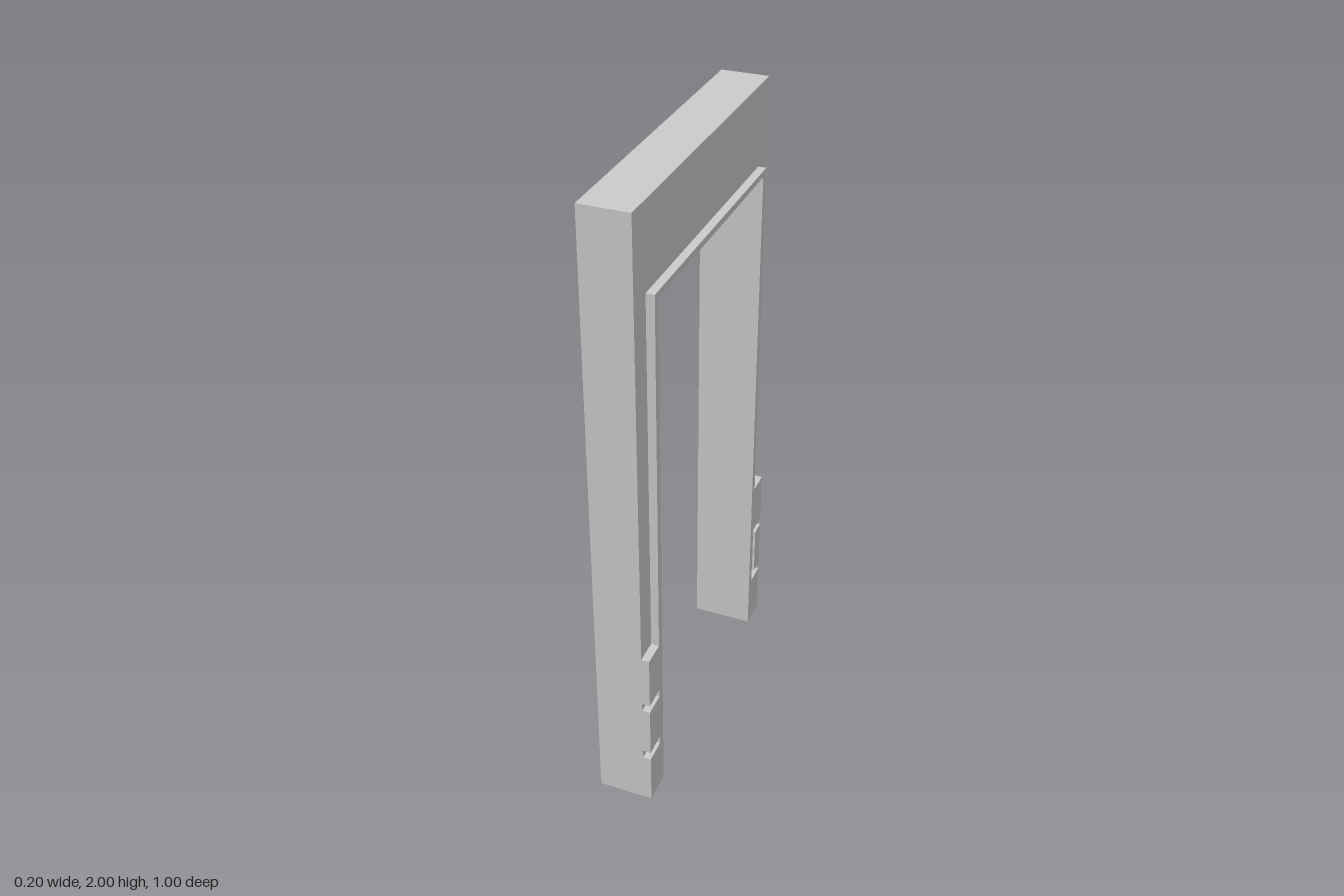
import * as THREE from 'three';

const material = new THREE.MeshStandardMaterial({ color: 0xcccccc });

// Extrudes an outline, given as (-z, y) points, along x from x0 to x1.
function slab(name, points, x0, x1) {
  const shape = new THREE.Shape(points.map(([u, y]) => new THREE.Vector2(u, y)));
  const geometry = new THREE.ExtrudeGeometry(shape, { depth: x1 - x0, bevelEnabled: false });
  geometry.rotateY(Math.PI / 2).translate(x0, 0, 0);
  const mesh = new THREE.Mesh(geometry, material);
  mesh.name = name;
  return mesh;
}

// Outline of a doorway arch with square corners.
const arch = (outer, top, inner, head) => [
  [-outer, 0], [-inner, 0], [-inner, head], [inner, head],
  [inner, 0], [outer, 0], [outer, top], [-outer, top],
];

export function createModel() {
  const group = new THREE.Group();
  group.name = 'doorFrame';

  const outer = 0.5, inner = 0.4, lip = 0.425, head = 1.73, lipTop = 1.75;
  const face = 0.074, edge = 0.099;
  const blockTop = 0.58, grooves = [[0.175, 0.204], [0.375, 0.402]];

  group.add(slab('frame', arch(outer, 2, inner, head), -face, face));

  // Plain raised lip around the opening
  group.add(slab('plainTrim', arch(lip, lipTop, inner, head), -edge, -face));

  // Lip on the other face, widening into foot blocks cut by hinge and latch grooves
  const [low, high] = grooves;
  group.add(slab('blockTrim', [
    [-outer, 0], [-inner, 0], [-inner, head], [inner, head], [inner, 0], [outer, 0],
    // latch recess
    [outer, low[0]], [lip, low[0]], [lip, high[1]], [outer, high[1]],
    [outer, blockTop], [lip, blockTop], [lip, lipTop], [-lip, lipTop],
    [-lip, blockTop], [-outer, blockTop],
    // two slots
    [-outer, high[1]], [-lip, high[1]], [-lip, high[0]], [-outer, high[0]],
    [-outer, low[1]], [-lip, low[1]], [-lip, low[0]], [-outer, low[0]],
  ], face, edge));

  // Island inside the latch recess
  group.add(slab('latchPlate', [
    [0.45, low[1]], [outer, low[1]], [outer, high[0]], [0.45, high[0]],
  ], face, edge));

  return group;
}
